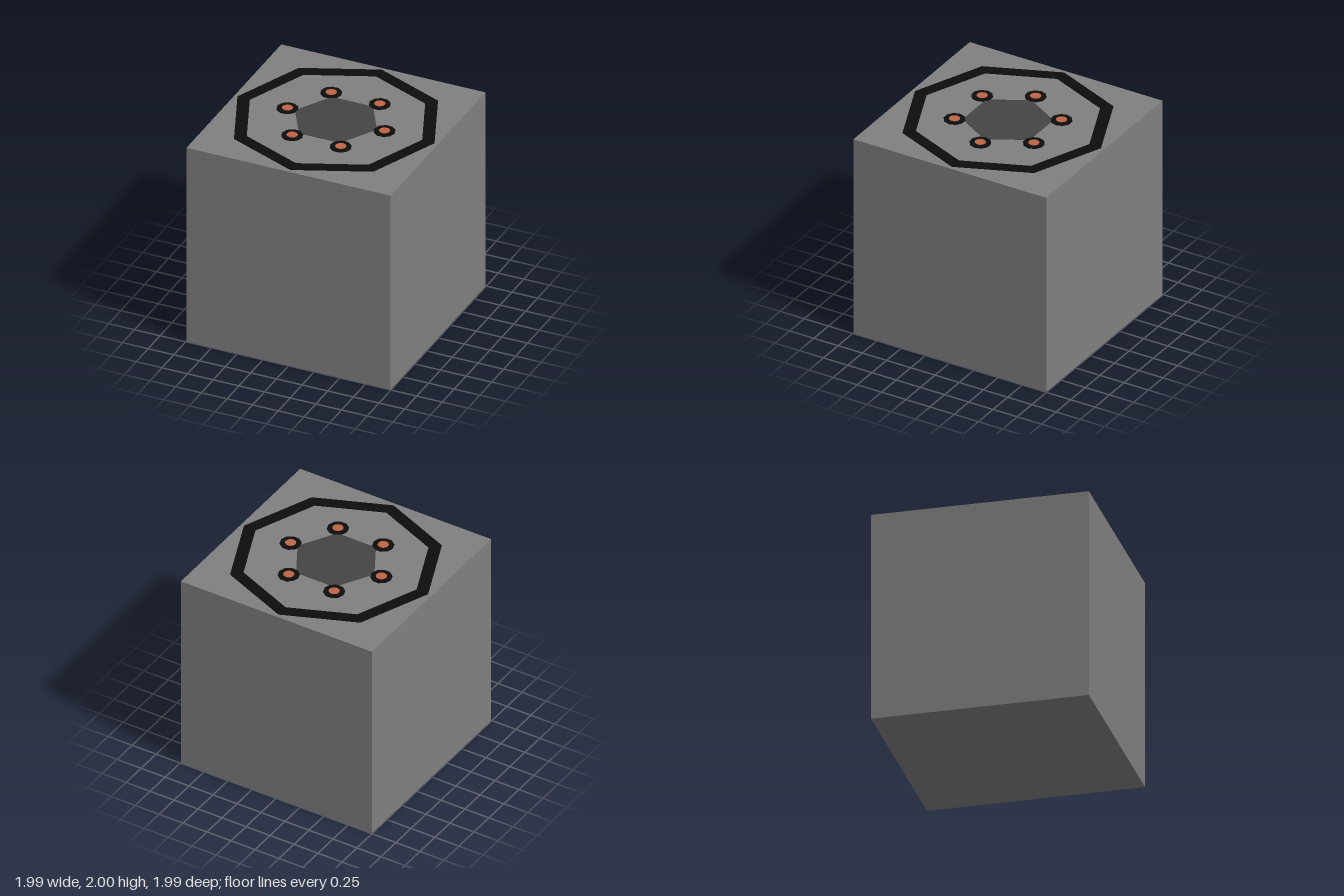
import * as THREE from 'three';

const TOP = 1.987;

function part(name, geometry, color, x = 0, y = 0, z = 0) {
  const mesh = new THREE.Mesh(geometry, new THREE.MeshStandardMaterial({ color, flatShading: true }));
  mesh.name = name;
  mesh.position.set(x, y, z);
  return mesh;
}

// Flat polygonal plate with a corner on the +x axis
function plate(radius, height, sides) {
  return new THREE.CylinderGeometry(radius, radius, height, sides).rotateY(Math.PI / 2);
}

function polygon(target, radius, sides) {
  const points = [];
  for (let i = 0; i < sides; i++) {
    const a = (i / sides) * Math.PI * 2;
    points.push(new THREE.Vector2(radius * Math.cos(a), radius * Math.sin(a)));
  }
  return target.setFromPoints(points);
}

export function createModel() {
  const model = new THREE.Group();
  model.name = 'block';

  // Solid cube body
  model.add(part('body', new THREE.BoxGeometry(1.99, TOP, 1.99), 0x808080, 0, TOP / 2, 0));

  // Octagonal border on the top face
  const border = polygon(new THREE.Shape(), 0.96, 8);
  border.holes.push(polygon(new THREE.Path(), 0.84, 8));
  const borderGeometry = new THREE.ExtrudeGeometry(border, { depth: 0.006, bevelEnabled: false });
  borderGeometry.rotateX(-Math.PI / 2);
  model.add(part('border', borderGeometry, 0x0d0d0d, 0, TOP, 0));

  // Dark hexagon in the middle
  model.add(part('centerPlate', plate(0.4, 0.004, 6), 0x444444, 0, TOP + 0.002, 0));

  // Six pads around the hexagon, each with a copper contact
  for (let i = 0; i < 6; i++) {
    const a = (i / 6) * Math.PI * 2;
    const contact = new THREE.Group();
    contact.name = 'contact';
    contact.position.set(0.473 * Math.cos(a), TOP, 0.473 * Math.sin(a));
    contact.add(part('pad', plate(0.098, 0.009, 10), 0x0d0d0d, 0, 0.0045, 0));
    contact.add(part('contactTip', plate(0.05, 0.013, 12), 0xc06446, 0, 0.0065, 0));
    model.add(contact);
  }
  return model;
}
